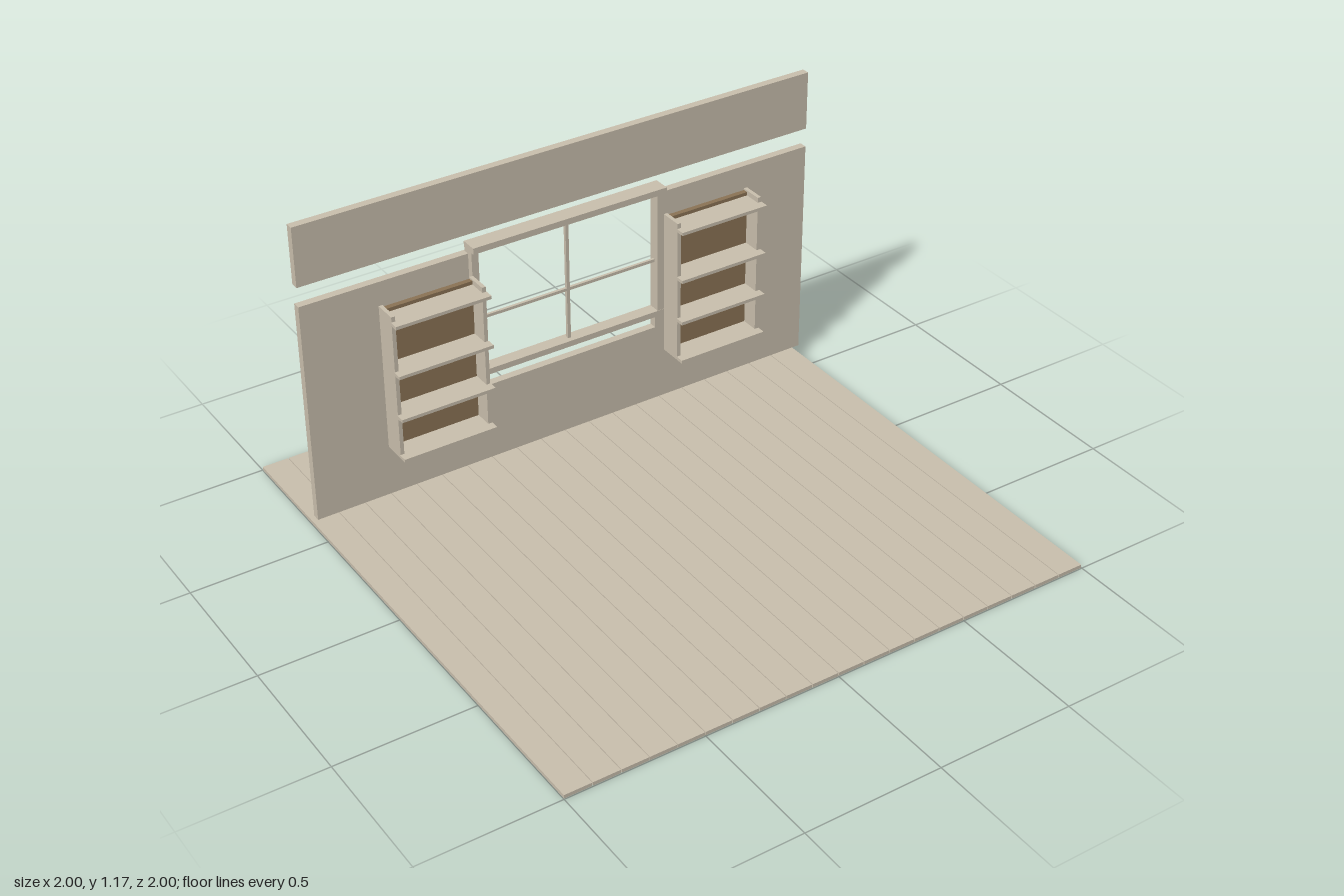
import * as THREE from 'three';

export function createModel() {
  const model = new THREE.Group();
  model.name = 'roomCorner';
  const paintedWood = new THREE.MeshStandardMaterial({ color: 0xc9bfad });
  paintedWood.name = 'paleBeige';
  const brownWood = new THREE.MeshStandardMaterial({ color: 0x8b7355 });
  brownWood.name = 'brown';

  const group = (name) => {
    const g = new THREE.Group();
    g.name = name;
    model.add(g);
    return g;
  };
  // Box given by its lower and upper bounds on each axis
  const box = (parent, name, [x0, x1], [y0, y1], [z0, z1], material = paintedWood) => {
    const mesh = new THREE.Mesh(new THREE.BoxGeometry(x1 - x0, y1 - y0, z1 - z0), material);
    mesh.position.set((x0 + x1) / 2, (y0 + y1) / 2, (z0 + z1) / 2);
    mesh.name = name;
    parent.add(mesh);
  };

  // Floor of twenty long planks with narrow gaps
  const floor = group('floor');
  for (let i = 0; i < 20; i++) {
    const x = -1 + i * 0.1;
    box(floor, 'floorPlank', [x + 0.0015, x + 0.0985], [0, 0.013], [-1, 0.997]);
  }

  // Lower wall, notched from the top for the window
  const wall = group('wall');
  const outline = new THREE.Shape([
    [-0.997, 0.045], [0.997, 0.045], [0.997, 0.877], [0.357, 0.877],
    [0.357, 0.342], [-0.357, 0.342], [-0.357, 0.877], [-0.997, 0.877],
  ].map(([x, y]) => new THREE.Vector2(x, y)));
  const lowerWall = new THREE.Mesh(
    new THREE.ExtrudeGeometry(outline, { depth: 0.029, bevelEnabled: false }), paintedWood);
  lowerWall.position.z = -0.602;
  lowerWall.name = 'lowerWall';
  wall.add(lowerWall);

  // Separate band above the wall
  box(wall, 'upperWallBand', [-0.997, 0.997], [0.948, 1.166], [-0.602, -0.573]);

  // Window frame and glazing bars
  const win = group('window');
  box(win, 'windowHead', [-0.38, 0.38], [0.891, 0.914], [-0.597, -0.534]);
  box(win, 'windowSill', [-0.38, 0.38], [0.401, 0.423], [-0.597, -0.549]);
  for (const s of [-1, 1]) {
    box(win, 'windowJamb', s < 0 ? [-0.379, -0.353] : [0.353, 0.379], [0.423, 0.891], [-0.596, -0.55]);
  }
  box(win, 'verticalBar', [-0.006, 0.006], [0.423, 0.891], [-0.581, -0.569]);
  box(win, 'horizontalBar', [-0.353, 0.353], [0.612, 0.623], [-0.58, -0.57]);

  // One shelf unit on each side of the window
  for (const [name, cx] of [['rightShelfUnit', -0.553], ['leftShelfUnit', 0.553]]) {
    const unit = group(name);
    unit.position.x = cx;
    box(unit, 'sidePanel', [-0.175, -0.161], [0.255, 0.804], [-0.549, -0.464]);
    box(unit, 'sidePanel', [0.161, 0.175], [0.255, 0.804], [-0.549, -0.464]);
    box(unit, 'backPanel', [-0.161, 0.161], [0.257, 0.798], [-0.548, -0.529], brownWood);
    // Shelves sit between the sides, with a full-width front edge
    for (const y of [0.263, 0.421, 0.589, 0.779]) {
      box(unit, 'shelf', [-0.161, 0.161], [y - 0.006, y + 0.006], [-0.529, -0.464]);
      box(unit, 'shelfFront', [-0.177, 0.177], [y - 0.006, y + 0.006], [-0.464, -0.431]);
    }
  }
  return model;
}
